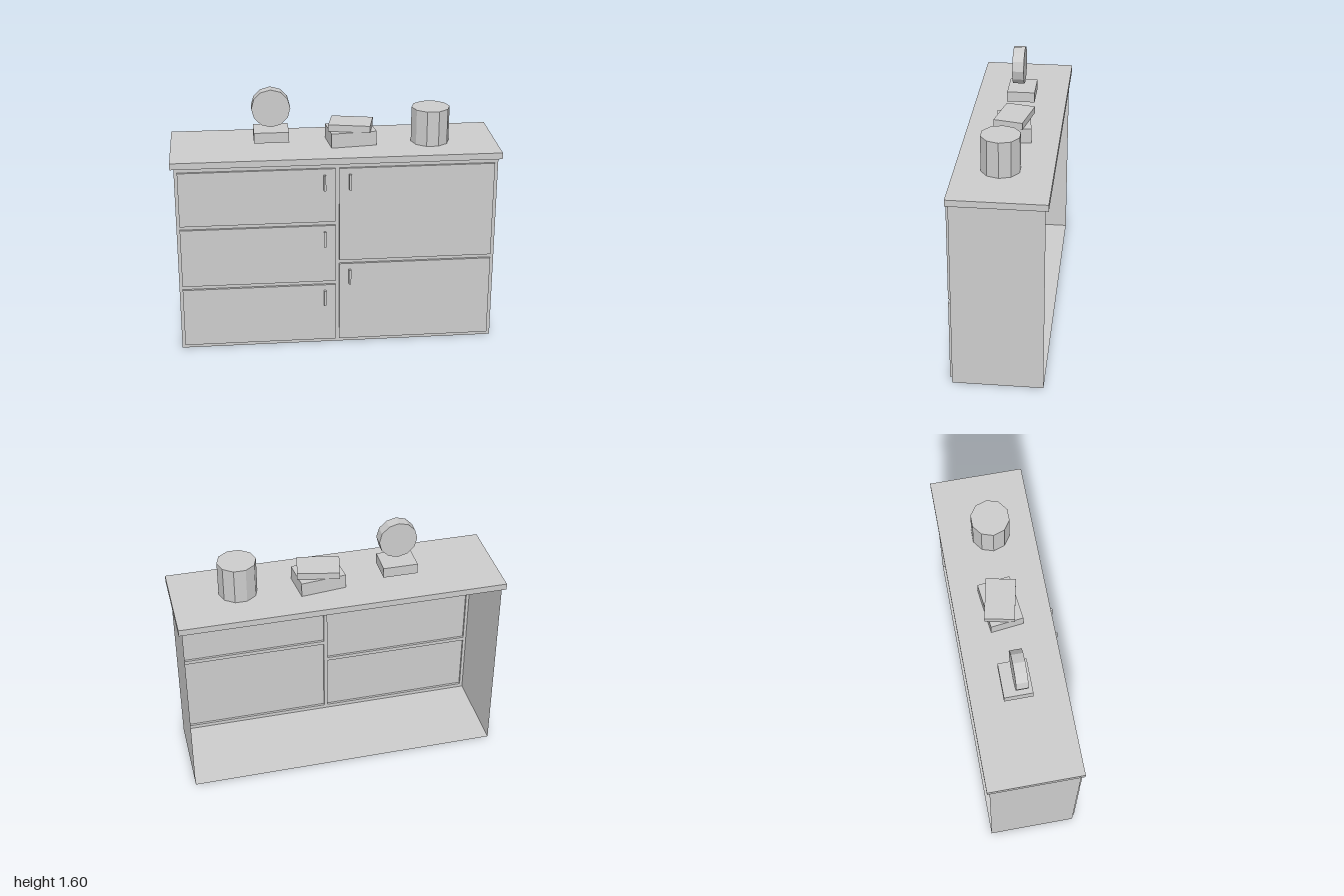
import * as THREE from 'three';

export function createModel() {
  const model = new THREE.Group();
  model.name = 'sideboard';
  const grey = new THREE.MeshStandardMaterial({ color: 0xcccccc, side: THREE.DoubleSide, flatShading: true });
  grey.name = 'plain grey';

  const add = (name, geometry, x = 0, y = 0, z = 0) => {
    const mesh = new THREE.Mesh(geometry, grey);
    mesh.name = name;
    mesh.position.set(x, y, z);
    model.add(mesh);
    return mesh;
  };

  // Box from its bounds; faces lists the kept sides (0 +x, 1 -x, 2 +y, 3 -y, 4 +z, 5 -z)
  const box = (name, [x0, x1], [y0, y1], [z0, z1], faces = [0, 1, 2, 3, 4, 5]) => {
    const g = new THREE.BoxGeometry(x1 - x0, y1 - y0, z1 - z0);
    const index = Array.from(g.index.array);
    g.setIndex(faces.flatMap((f) => index.slice(f * 6, f * 6 + 6)));
    g.clearGroups();
    return add(name, g, (x0 + x1) / 2, (y0 + y1) / 2, (z0 + z1) / 2);
  };

  const rect = (path, [x0, x1], [y0, y1]) =>
    path.moveTo(x0, y0).lineTo(x1, y0).lineTo(x1, y1).lineTo(x0, y1).closePath();

  // Cabinet shell, open at the back, and the worktop that closes it above
  const front = 0.262, doorFront = 0.277;
  box('carcass', [-0.977, 0.977], [0, 1.2], [-0.28, front], [0, 1, 3]);
  box('worktop', [-1, 1], [1.2, 1.24], [-0.298, doorFront]);

  // Raised fronts, hollow from behind, with upright handles
  const left = [-0.958, -0.013], right = [0.01, 0.955];
  const fronts = [
    { name: 'topDrawer', x: left, y: [0.83, 1.175], handle: 1.04 },
    { name: 'middleDrawer', x: left, y: [0.43, 0.805], handle: 0.67 },
    { name: 'bottomDrawer', x: left, y: [0.025, 0.405], handle: 0.27 },
    { name: 'upperDoor', x: right, y: [0.57, 1.175], handle: 1.04 },
    { name: 'lowerDoor', x: right, y: [0.025, 0.545], handle: 0.41 },
  ];
  const frame = rect(new THREE.Shape(), [-0.977, 0.977], [0, 1.2]);
  for (const { name, x, y, handle } of fronts) {
    frame.holes.push(rect(new THREE.Path(), x, y));
    box(name, x, y, [front, doorFront], [0, 1, 2, 3, 4]);
    const hx = x === left ? [-0.086, -0.072] : [0.068, 0.082];
    box(name + 'Handle', hx, [handle, handle + 0.098], [doorFront, 0.298]);
  }
  add('frontFrame', new THREE.ShapeGeometry(frame), 0, 0, front);

  // Round ornament hovering over its block
  box('ornamentBase', [-0.491, -0.277], [1.275, 1.34], [-0.105, 0.068]);
  add('ornamentDisc', new THREE.CylinderGeometry(0.118, 0.118, 0.072, 12), -0.384, 1.483, 0)
    .rotation.x = Math.PI / 2;

  // Two stacked books turned opposite ways
  add('lowerBook', new THREE.BoxGeometry(0.28, 0.09, 0.2), 0.107, 1.285, -0.017).rotation.y = 0.115;
  add('upperBook', new THREE.BoxGeometry(0.257, 0.042, 0.18), 0.107, 1.351, -0.018).rotation.y = -0.21;

  // Ten-sided pot
  add('pot', new THREE.CylinderGeometry(0.118, 0.118, 0.22, 10), 0.596, 1.35, 0.01)
    .rotation.y = Math.PI / 2;

  return model;
}
